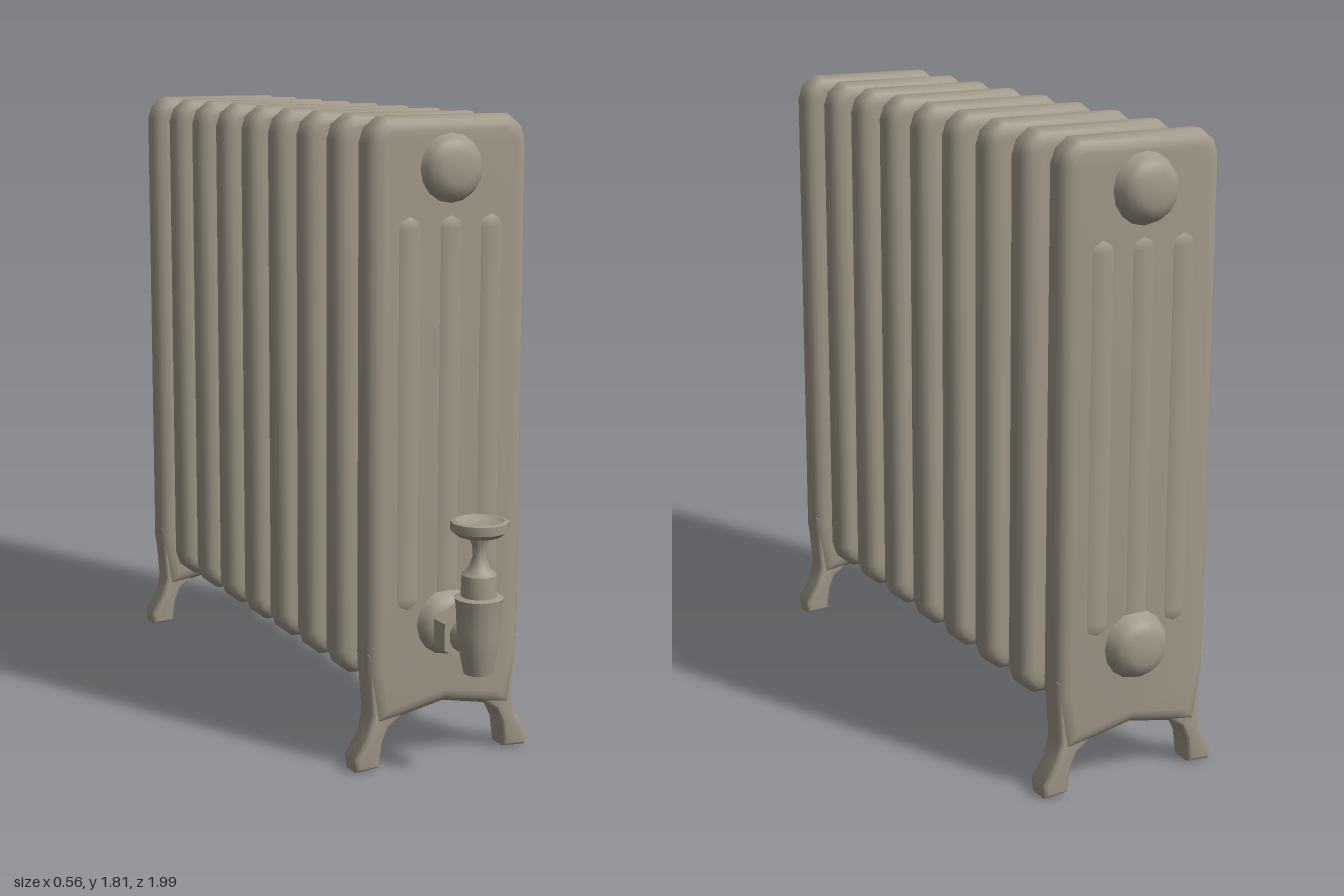
import * as THREE from 'three';
import { mergeVertices, toCreasedNormals } from 'three/addons/utils/BufferGeometryUtils.js';
import { RoundedBoxGeometry } from 'three/addons/geometries/RoundedBoxGeometry.js';

const COUNT = 9, FRONT_Z = 0.69, PITCH = 0.197;

// Extrusion centred on z with rounded edges that stay inside the outline
function castPlate(points, depth, bevelThickness, bevelSize) {
  const shape = new THREE.Shape(points.map(([x, y]) => new THREE.Vector2(x, y)));
  const geo = new THREE.ExtrudeGeometry(shape, {
    depth, bevelThickness, bevelSize, bevelOffset: -bevelSize, bevelSegments: 4,
  });
  geo.translate(0, 0, -depth / 2);
  geo.deleteAttribute('uv');
  geo.deleteAttribute('normal');
  return toCreasedNormals(mergeVertices(geo, 1e-4), 0.8);
}

// Half outline (x >= 0) mirrored to a full closed one
function mirrored(half) {
  const left = half.filter(([x]) => x > 0).map(([x, y]) => [-x, y]).reverse();
  return [...half, ...left];
}

function lathe(profile, sides) {
  const geo = new THREE.LatheGeometry(profile.map(([r, y]) => new THREE.Vector2(r, y)), sides);
  return toCreasedNormals(geo, 0.7);
}

export function createModel() {
  const model = new THREE.Group();
  model.name = 'radiator';
  const iron = new THREE.MeshStandardMaterial({ color: 0xa09888 });
  iron.name = 'warm grey iron';

  function add(name, geo, x = 0, y = 0, z = 0, parent = model) {
    const mesh = new THREE.Mesh(geo, iron);
    mesh.name = name;
    mesh.position.set(x, y, z);
    parent.add(mesh);
    return mesh;
  }

  const top = [[0.242, 1.74], [0.228, 1.78], [0.19, 1.81]];
  const middleGeo = castPlate(
    mirrored([[0.19, 0.22], [0.228, 0.25], [0.242, 0.29], ...top]), 0.03, 0.036, 0.04);
  const endGeo = castPlate(
    mirrored([[0, 0.17], [0.15, 0.14], [0.215, 0.13], [0.242, 0.3], ...top]), 0.03, 0.036, 0.04);

  // Shallow vertical flutes on the section faces
  const fluteGeo = new THREE.CapsuleGeometry(0.07, 1.02, 6, 16);
  fluteGeo.scale(1, 1, 0.83);

  // Splayed foot
  const legGeo = castPlate(
    [[0.2, 0.005], [0.272, 0], [0.278, 0.04], [0.238, 0.1], [0.226, 0.16], [0.24, 0.34],
      [0.17, 0.34], [0.13, 0.15], [0.17, 0.12], [0.19, 0.08]], 0.045, 0.018, 0.012);

  // Parts that bridge the gaps between sections
  const webGeo = new RoundedBoxGeometry(0.3, 1.16, 0.11, 4, 0.045);
  const topHubGeo = new THREE.CylinderGeometry(0.1, 0.1, PITCH, 20);
  topHubGeo.rotateX(Math.PI / 2).scale(1.25, 1, 1);
  const lowHubGeo = new THREE.CylinderGeometry(0.125, 0.125, PITCH, 20);
  lowHubGeo.rotateX(Math.PI / 2).scale(1.1, 1, 1);

  for (let i = 0; i < COUNT; i++) {
    const z = FRONT_Z - i * PITCH;
    const isEnd = i === 0 || i === COUNT - 1;
    const section = new THREE.Group();
    section.name = isEnd ? 'endSection' : 'middleSection';
    section.position.z = z;
    model.add(section);
    add('sectionBody', isEnd ? endGeo : middleGeo, 0, 0, 0, section);
    for (const x of [-0.125, 0, 0.125]) add('flute', fluteGeo, x, 1, 0, section);
    if (isEnd) {
      add('leftLeg', legGeo, 0, 0, 0, section);
      add('rightLeg', legGeo, 0, 0, 0, section).rotation.y = Math.PI;
    }
    if (i < COUNT - 1) {
      add('innerColumn', webGeo, 0, 0.96, z - PITCH / 2);
      add('topConnector', topHubGeo, 0, 1.69, z - PITCH / 2);
      add('bottomConnector', lowHubGeo, 0, 0.355, z - PITCH / 2);
    }
  }

  // Domed plugs on both end faces
  const plugGeo = lathe([[0.14, 0], [0.11, 0.045], [0.095, 0.075], [0.08, 0.092], [0.05, 0.1], [0, 0.102]], 16);
  for (const [y, size] of [[1.67, 0.9], [0.41, 0.9]]) {
    const front = add('frontPlug', plugGeo, 0, y, FRONT_Z);
    front.rotation.x = Math.PI / 2;
    front.scale.set(size, 0.92, size);
    const back = add('backPlug', plugGeo, 0, y, FRONT_Z - (COUNT - 1) * PITCH);
    back.rotation.x = -Math.PI / 2;
    back.scale.set(size, 1.05, size);
  }

  // Valve: inlet pipe, union nut, body with stem, and handwheel
  const valve = new THREE.Group();
  valve.name = 'valve';
  valve.position.z = 0.917;
  model.add(valve);
  const pipeGeo = new THREE.CylinderGeometry(0.05, 0.05, 0.2, 14).rotateX(Math.PI / 2);
  add('inletPipe', pipeGeo, 0, 0.4, -0.1, valve);
  const nutGeo = toCreasedNormals(new THREE.CylinderGeometry(0.075, 0.075, 0.06, 6).rotateX(Math.PI / 2), 0.5);
  add('unionNut', nutGeo, 0, 0.4, -0.1, valve);
  add('valveBody', lathe([
    [0, 0.31], [0.04, 0.312], [0.052, 0.37], [0.06, 0.44], [0.063, 0.5], [0.068, 0.525],
    [0.05, 0.53], [0.048, 0.59], [0.03, 0.605], [0.018, 0.64], [0.02, 0.67], [0.034, 0.705],
  ], 14), 0, 0, 0, valve);
  add('handwheel', lathe([
    [0, 0.695], [0.06, 0.698], [0.079, 0.712], [0.08, 0.737], [0.068, 0.74], [0.05, 0.728], [0, 0.73],
  ], 12), 0, 0, 0, valve);

  return model;
}
